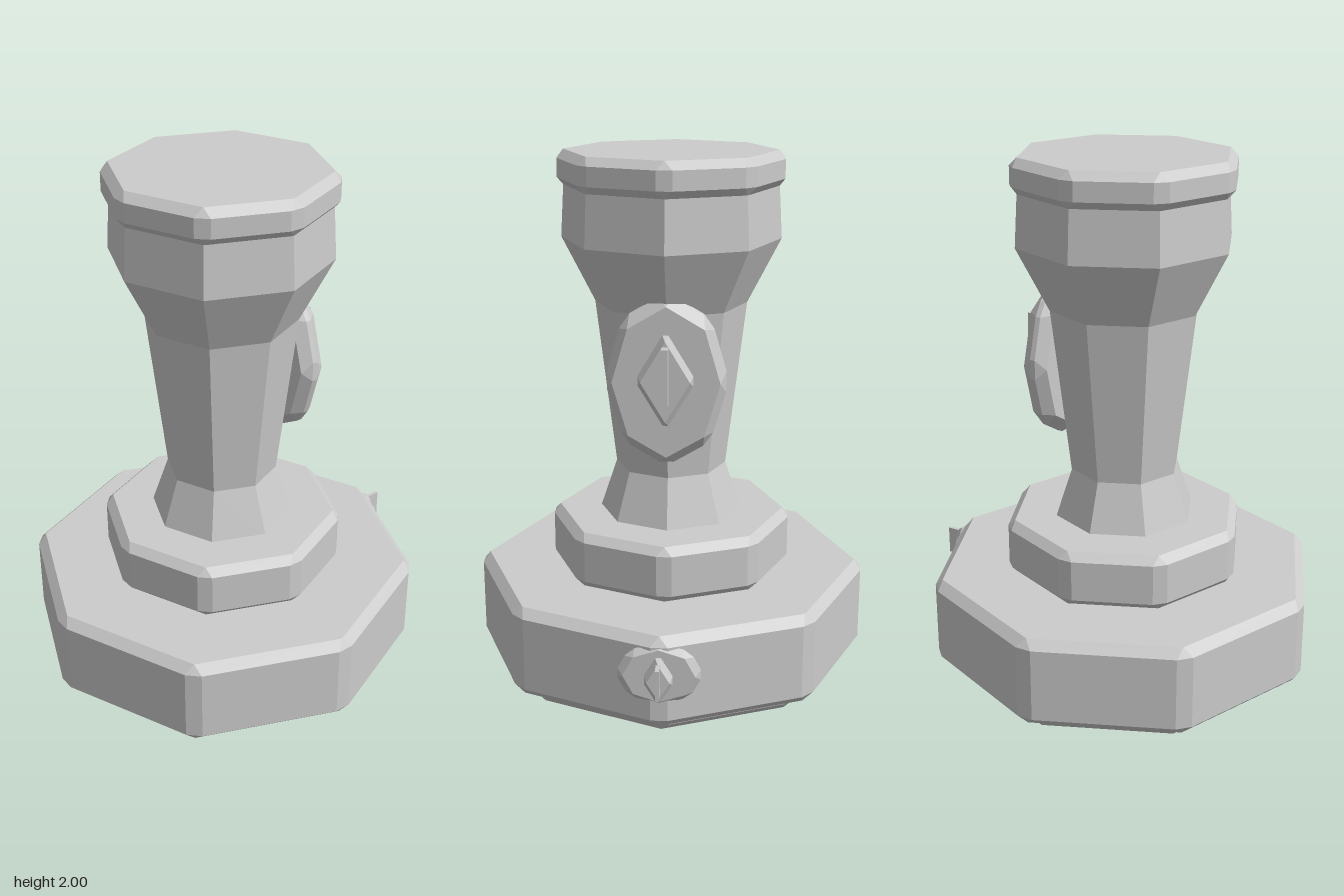
import * as THREE from 'three';

const material = new THREE.MeshStandardMaterial({ color: 0xcccccc, flatShading: true, side: THREE.DoubleSide });

// Upright n-sided prism with every edge chamfered by d; corners lie on the axes.
function bevelledPrism(n, radius, y0, y1, d) {
  const half = Math.PI / n;
  const ring = (y, sharp) => {
    const pts = [];
    for (let i = 0; i < n; i++) {
      const a = i * 2 * half, s = Math.sin(a), c = Math.cos(a);
      const r = sharp ? radius - d / Math.cos(half) : radius - d * Math.sin(half);
      for (const side of [-1, 1]) {
        const w = sharp ? 0 : side * d * Math.cos(half);
        pts.push(new THREE.Vector3(r * s + w * c, y, r * c - w * s));
      }
    }
    return pts;
  };
  const rings = [ring(y0, true), ring(y0 + d, false), ring(y1 - d, false), ring(y1, true)];
  const pos = [];
  const tri = (a, b, c) => {
    if (a.equals(b) || b.equals(c) || a.equals(c)) return;
    for (const p of [a, b, c]) pos.push(p.x, p.y, p.z);
  };
  const low = new THREE.Vector3(0, y0, 0), high = new THREE.Vector3(0, y1, 0);
  for (let i = 0; i < 2 * n; i++) {
    const j = (i + 1) % (2 * n);
    for (let k = 0; k < 3; k++) {
      const [p, q] = [rings[k], rings[k + 1]];
      tri(p[i], p[j], q[j]);
      tri(p[i], q[j], q[i]);
    }
    tri(high, rings[3][i], rings[3][j]);
    tri(low, rings[0][j], rings[0][i]);
  }
  const geo = new THREE.BufferGeometry();
  geo.setAttribute('position', new THREE.Float32BufferAttribute(pos, 3));
  geo.computeVertexNormals();
  return geo;
}

function add(parent, name, geo, x = 0, y = 0, z = 0) {
  const mesh = new THREE.Mesh(geo, material);
  mesh.name = name;
  mesh.position.set(x, y, z);
  parent.add(mesh);
  return mesh;
}

// Prism turned to face backwards, squashed sideways by sx
const facingBack = (n, radius, depth, d, sx) =>
  bevelledPrism(n, radius, 0, depth, d).rotateX(-Math.PI / 2).scale(sx, 1, 1);

export function createModel() {
  const model = new THREE.Group();
  model.name = 'pedestal';

  // Stacked octagonal body
  const body = new THREE.Group();
  body.name = 'body';
  body.position.z = 0.05;
  model.add(body);
  add(body, 'foot', bevelledPrism(8, 0.663, 0, 0.075, 0.03));
  add(body, 'base', bevelledPrism(8, 0.758, 0.065, 0.412, 0.033));
  add(body, 'collar', bevelledPrism(8, 0.467, 0.41, 0.625, 0.03));
  add(body, 'cap', bevelledPrism(8, 0.427, 1.87, 2, 0.03));

  // Faceted flaring grip
  const profile = [[0, 0.61], [0.277, 0.61], [0.21, 0.81], [0.285, 1.44], [0.408, 1.68], [0.396, 1.88], [0, 1.88]];
  add(body, 'grip', new THREE.LatheGeometry(profile.map(([r, y]) => new THREE.Vector2(r, y)), 8));

  // Large dial on the back of the grip
  const dial = new THREE.Group();
  dial.name = 'gripDial';
  model.add(dial);
  add(dial, 'dialPlate', facingBack(8, 0.322, 0.1, 0.04, 0.7), 0, 1.207, -0.173);
  add(dial, 'dialDiamond', facingBack(4, 0.182, 0.055, 0.024, 0.6), 0, 1.225, -0.273);
  add(dial, 'dialFin', new THREE.BoxGeometry(0.024, 0.207, 0.06), 0, 1.25, -0.339);

  // Small dial on the back corner of the base
  const small = new THREE.Group();
  small.name = 'baseDial';
  model.add(small);
  add(small, 'smallPlate', facingBack(8, 0.121, 0.045, 0.02, 1.28), 0, 0.273, -0.655);
  add(small, 'smallDiamond', facingBack(4, 0.097, 0.05, 0.021, 0.6), 0, 0.273, -0.7);
  add(small, 'smallFin', new THREE.BoxGeometry(0.014, 0.112, 0.055), 0, 0.284, -0.768);

  return model;
}
